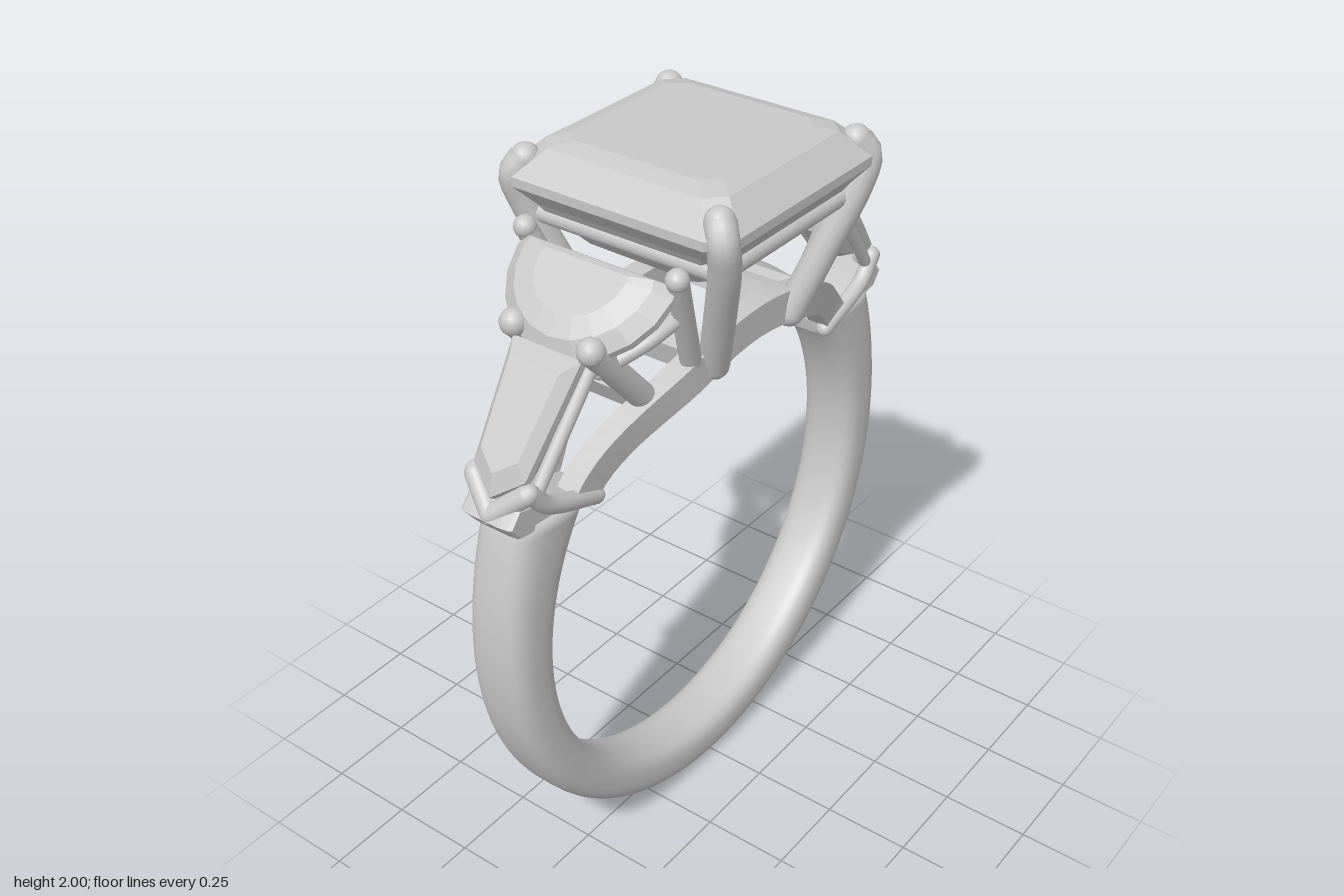
import * as THREE from 'three';

const CY = 0.81, R = 0.67;           // finger hole centre height and radius
const rad = THREE.MathUtils.degToRad;
const V = (x, y, z) => new THREE.Vector3(x, y, z);

const metal = new THREE.MeshStandardMaterial({ color: 0xc8c8c8 });
metal.name = 'paleGrey';

// Skin between equal-length closed rings, with fan caps at both ends
function loft(rings, smooth) {
  const n = rings[0].length, pos = [], idx = [];
  rings.forEach(r => r.forEach(p => pos.push(p.x, p.y, p.z)));
  for (let i = 0; i < rings.length - 1; i++) {
    for (let j = 0; j < n; j++) {
      const k = (j + 1) % n, a = i * n + j, b = i * n + k;
      idx.push(a, b, b + n, a, b + n, a + n);
    }
  }
  [0, rings.length - 1].forEach(i => {
    const c = V(0, 0, 0);
    rings[i].forEach(p => c.addScaledVector(p, 1 / n));
    const ci = pos.length / 3;
    pos.push(c.x, c.y, c.z);
    for (let j = 0; j < n; j++) {
      const a = i * n + j, b = i * n + (j + 1) % n;
      if (i) idx.push(ci, a, b); else idx.push(ci, b, a);
    }
  });
  let g = new THREE.BufferGeometry();
  g.setAttribute('position', new THREE.Float32BufferAttribute(pos, 3));
  g.setIndex(idx);
  if (!smooth) g = g.toNonIndexed();
  g.computeVertexNormals();
  return g;
}

function add(parent, name, geo) {
  const m = new THREE.Mesh(geo, metal);
  m.name = name;
  parent.add(m);
  return m;
}

// Faceted stone: an outline scaled about a centre at each [height, scale] level
function gem(parent, name, outline, levels, cu = 0) {
  return add(parent, name, loft(levels.map(([h, s]) =>
    outline.map(([u, v]) => V(cu + (u - cu) * s, h, -v * s)))));
}

// Round wire with ball ends
function wire(parent, name, points, r, tip = r) {
  const g = new THREE.Group();
  g.name = name;
  parent.add(g);
  const curve = points.length > 2 ? new THREE.CatmullRomCurve3(points)
    : new THREE.LineCurve3(points[0], points[1]);
  add(g, name + 'Wire', new THREE.TubeGeometry(curve, points.length > 2 ? 24 : 1, r, 14));
  [[points[0], r], [points[points.length - 1], tip]].forEach(([p, s]) => {
    add(g, name + 'End', new THREE.SphereGeometry(s, 14, 10)).position.copy(p);
  });
}

// Point around the finger hole; angle in degrees measured from the bottom
const around = (deg, r, z) => V(Math.sin(rad(deg)) * r, CY - Math.cos(rad(deg)) * r, z);
const soft = (x, e) => Math.sign(x) * Math.abs(x) ** e;

function buildBand(parent) {
  const rings = [];
  for (let i = 0; i <= 96; i++) {
    const s = i / 48 - 1, t = 0.14 + 0.085 * Math.abs(s) ** 5;
    const ring = [];
    for (let j = 0; j < 32; j++) {
      const f = j / 32 * Math.PI * 2;
      const k = 0.5 + 0.5 * soft(Math.cos(f), 0.75);
      ring.push(around(s * (130 - 9 * k), R + t * k, -0.092 * soft(Math.sin(f), 0.6)));
    }
    rings.push(ring);
  }
  add(parent, 'band', loft(rings, true));
}

// Square-section arched rail that flares outward beneath the centre stone
function buildGalleryRail(parent, side) {
  const rings = [];
  for (let i = 0; i <= 40; i++) {
    const a = 128 + 104 * i / 40;
    const z = side * (0.065 + 0.105 * THREE.MathUtils.smoothstep(52 - Math.abs(a - 180), 0, 36));
    rings.push([[1, -1], [0, -1], [0, 1], [1, 1]].map(([k, w]) =>
      around(a, R + 0.09 * k, z + 0.032 * w)));
  }
  add(parent, 'galleryRail', loft(rings));
}

function buildCentre(parent) {
  const c = 0.83;
  const octagon = [[1, -c], [1, c], [c, 1], [-c, 1], [-1, c], [-1, -c], [-c, -1], [c, -1]];
  gem(parent, 'centreStone', octagon, [
    [1.585, 0.005], [1.72, 0.2], [1.80, 0.27], [1.845, 0.3], [1.895, 0.343],
    [1.92, 0.343], [1.985, 0.275], [2.0, 0.225]]);
  // Seat rail: square wire frame under the girdle
  for (const s of [1, -1]) {
    wire(parent, 'seatRail', [V(-0.26, 1.805, 0.275 * s), V(0.26, 1.805, 0.275 * s)], 0.026);
    wire(parent, 'seatRail', [V(0.265 * s, 1.805, -0.27), V(0.265 * s, 1.805, 0.27)], 0.026);
  }
  for (const x of [1, -1]) for (const z of [1, -1]) {
    wire(parent, 'centreProng', [V(0.165 * x, 1.485, 0.19 * z), V(0.22 * x, 1.65, 0.245 * z),
      V(0.285 * x, 1.84, 0.305 * z), V(0.303 * x, 1.91, 0.312 * z),
      V(0.285 * x, 1.95, 0.29 * z)], 0.04, 0.038);
  }
}

// One shoulder: half-moon stone, tapered stone, their prongs and the end bracket
function buildShoulder(parent) {
  const moon = [];
  for (let i = 0; i <= 10; i++) {
    const a = -Math.PI / 2 + Math.PI * i / 10;
    moon.push([0.03 + 0.23 * Math.cos(a), 0.235 * Math.sin(a)]);
  }
  moon.push([0, 0.225], [0, -0.225]);
  const halfMoon = gem(parent, 'halfMoonStone', moon,
    [[-0.13, 0.1], [-0.07, 0.62], [-0.012, 1], [0.008, 1], [0.04, 0.82], [0.052, 0.55]], 0.06);
  halfMoon.position.set(0.36, 1.79, 0);
  halfMoon.rotation.z = -rad(39);

  const taper = [[0, -0.105], [0.31, -0.08], [0.375, 0], [0.31, 0.08], [0, 0.105]];
  const tapered = gem(parent, 'taperedStone', taper,
    [[-0.09, 0.35], [-0.05, 0.75], [-0.01, 1], [0.01, 1], [0.035, 0.72]], 0.17);
  tapered.position.set(0.555, 1.645, 0);
  tapered.rotation.z = -rad(52.5);

  for (const s of [1, -1]) {
    wire(parent, 'innerProng', [V(0.22, 1.48, 0.165 * s), V(0.365, 1.815, 0.23 * s)], 0.028, 0.03);
    wire(parent, 'outerProng', [V(0.325, 1.42, 0.125 * s), V(0.545, 1.672, 0.118 * s)], 0.034, 0.036);
    wire(parent, 'halfMoonSeat', [V(0.31, 1.69, 0.2 * s), V(0.41, 1.66, 0.18 * s),
      V(0.49, 1.61, 0.12 * s)], 0.02);
    wire(parent, 'taperedSeat', [V(0.525, 1.62, 0.102 * s), V(0.73, 1.345, 0.082 * s)], 0.018);
    wire(parent, 'bracketBar', [V(0.51, 1.24, 0.085 * s), V(0.69, 1.315, 0.088 * s),
      V(0.745, 1.375, 0.085 * s)], 0.024);
    wire(parent, 'bracketTip', [V(0.75, 1.37, 0.08 * s), V(0.79, 1.305, 0)], 0.027);
  }
  wire(parent, 'taperedSeatEnd', [V(0.51, 1.6, -0.11), V(0.51, 1.6, 0.11)], 0.02);

  // Solid plate closing the band end
  const plate = new THREE.Shape([[0.515, 1.225], [0.775, 1.262], [0.805, 1.3], [0.775, 1.335],
    [0.69, 1.315], [0.51, 1.25]].map(([x, y]) => new THREE.Vector2(x, y)));
  add(parent, 'bracketPlate', new THREE.ExtrudeGeometry(plate,
    { depth: 0.09, bevelThickness: 0.035, bevelSize: 0.008, bevelSegments: 2 })).position.z = -0.045;

  // Cross bars tying the two rails together
  [[165, 0.3], [152, 0.26]].forEach(([a, w]) => {
    const bar = add(parent, 'crossBar', new THREE.BoxGeometry(0.05, 0.07, w));
    bar.position.copy(around(a, R + 0.043, 0));
    bar.rotation.z = rad(a);
  });
}

export function createModel() {
  const ring = new THREE.Group();
  ring.name = 'ring';
  buildBand(ring);
  buildGalleryRail(ring, 1);
  buildGalleryRail(ring, -1);
  buildCentre(ring);
  ['leftShoulder', 'rightShoulder'].forEach((name, i) => {
    const g = new THREE.Group();
    g.name = name;
    g.rotation.y = i * Math.PI;
    buildShoulder(g);
    ring.add(g);
  });
  return ring;
}
